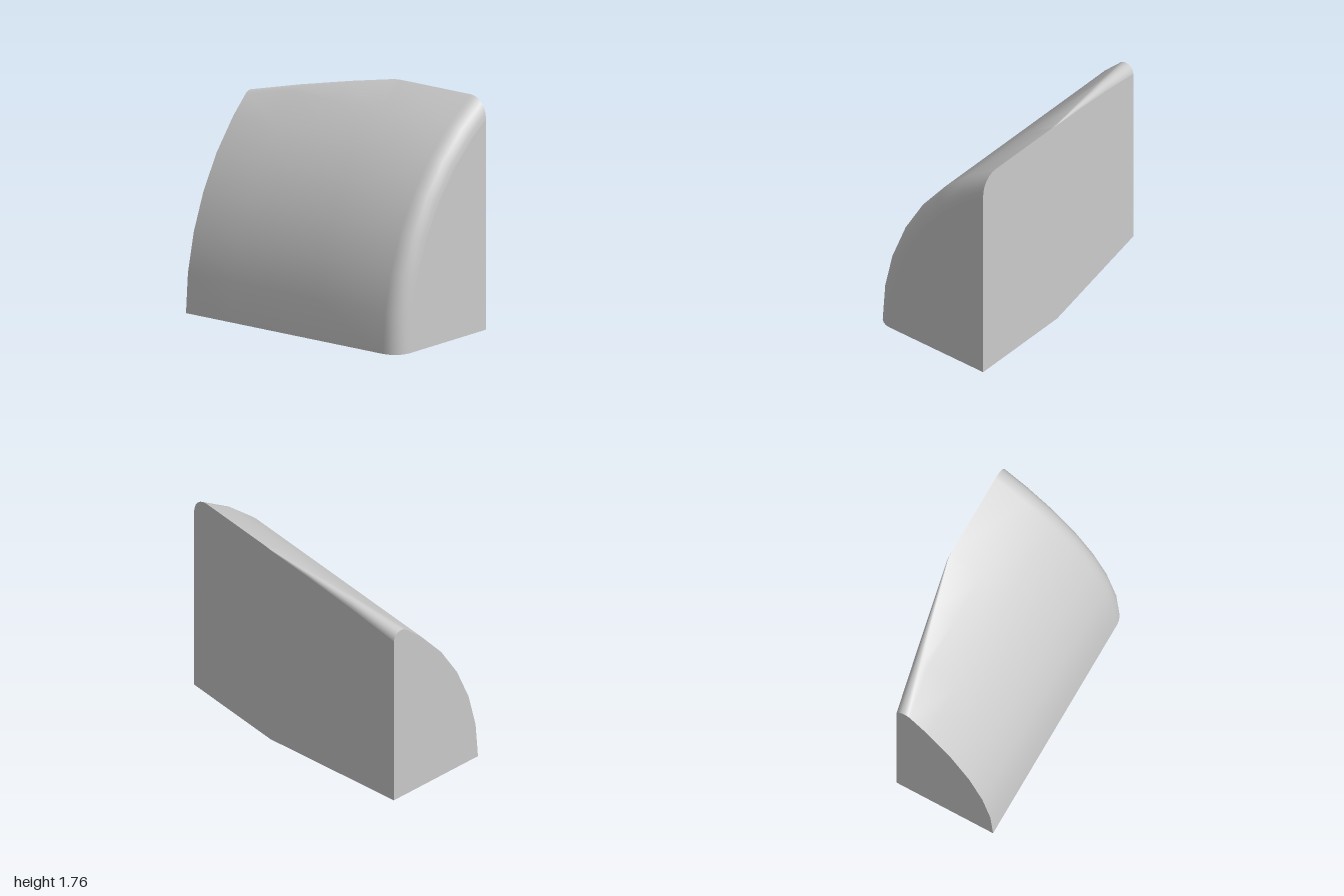
import * as THREE from 'three';
import { toCreasedNormals } from 'three/addons/utils/BufferGeometryUtils.js';

const R = 2.02, CX = 1.51;        // outer arc: radius and centre x (centre y = 0)
const WALL = 0.51, FRONT_R = 0.14; // flat side wall and front edge rounding
const ARC = 7, FIL = 6;
const STEP = Math.acos((CX - WALL) / R) / ARC;

// Cross-section at depth z, counter-clockwise from the foot of the side wall
function section(z, inset) {
  const r = R - inset;
  const w = Math.min(WALL, 0.3 + (z + 1) * 0.184);   // wall slants in at the back
  const f = Math.max(0, 0.07 * (0.2 - z) / 1.2);     // ridge rounding grows to the back
  const t = Math.acos((CX - w + f) / (r - f));
  const pts = [new THREE.Vector3(w, 0, z)];
  for (let i = 0; i <= FIL; i++) {
    const a = (Math.PI - t) * i / FIL;
    pts.push(new THREE.Vector3(w - f + f * Math.cos(a), (r - f) * Math.sin(t) + f * Math.sin(a), z));
  }
  for (let k = ARC - 1; k >= 0; k--) {
    const a = Math.min(k * STEP, t);
    pts.push(new THREE.Vector3(CX - r * Math.cos(a), r * Math.sin(a), z));
  }
  return pts;
}

// Adds a triangle unless it has no area
function tri(list, a, b, c) {
  const n = b.clone().sub(a).cross(c.clone().sub(a));
  if (n.length() > 1e-8) list.push(a, b, c);
}

function makeMesh(name, points, smooth) {
  let geo = new THREE.BufferGeometry().setFromPoints(points);
  geo.computeVertexNormals();
  if (smooth) geo = toCreasedNormals(geo, Math.PI / 6);
  const mesh = new THREE.Mesh(geo, new THREE.MeshStandardMaterial({ color: 0xcccccc }));
  mesh.name = name;
  return mesh;
}

export function createModel() {
  // Straight run, then the quarter-round front edge
  const rings = [-1, -0.6, -0.2, 0.14, 0.2].map((z) => section(z, 0));
  for (let i = 0; i <= 6; i++) {
    const a = (Math.PI / 2) * i / 6;
    rings.push(section(1 - FRONT_R + FRONT_R * Math.sin(a), FRONT_R * (1 - Math.cos(a))));
  }

  const curved = [], flat = [];
  const n = rings[0].length;
  for (let i = 0; i < rings.length - 1; i++) {
    for (let j = 0; j < n; j++) {
      const k = (j + 1) % n;
      const list = j === 0 || k === 0 ? flat : curved; // side wall and base are flat
      const a = rings[i][j], b = rings[i][k], c = rings[i + 1][k], d = rings[i + 1][j];
      tri(list, a, b, c);
      tri(list, a, c, d);
    }
  }

  // Front and back end faces
  const back = rings[0], front = rings[rings.length - 1];
  for (let j = 1; j < n - 1; j++) {
    tri(flat, front[0], front[j], front[j + 1]);
    tri(flat, back[0], back[j + 1], back[j]);
  }

  const group = new THREE.Group();
  group.name = 'curvedWedge';
  group.add(makeMesh('curvedShell', curved, true), makeMesh('flatFaces', flat, false));
  return group;
}
